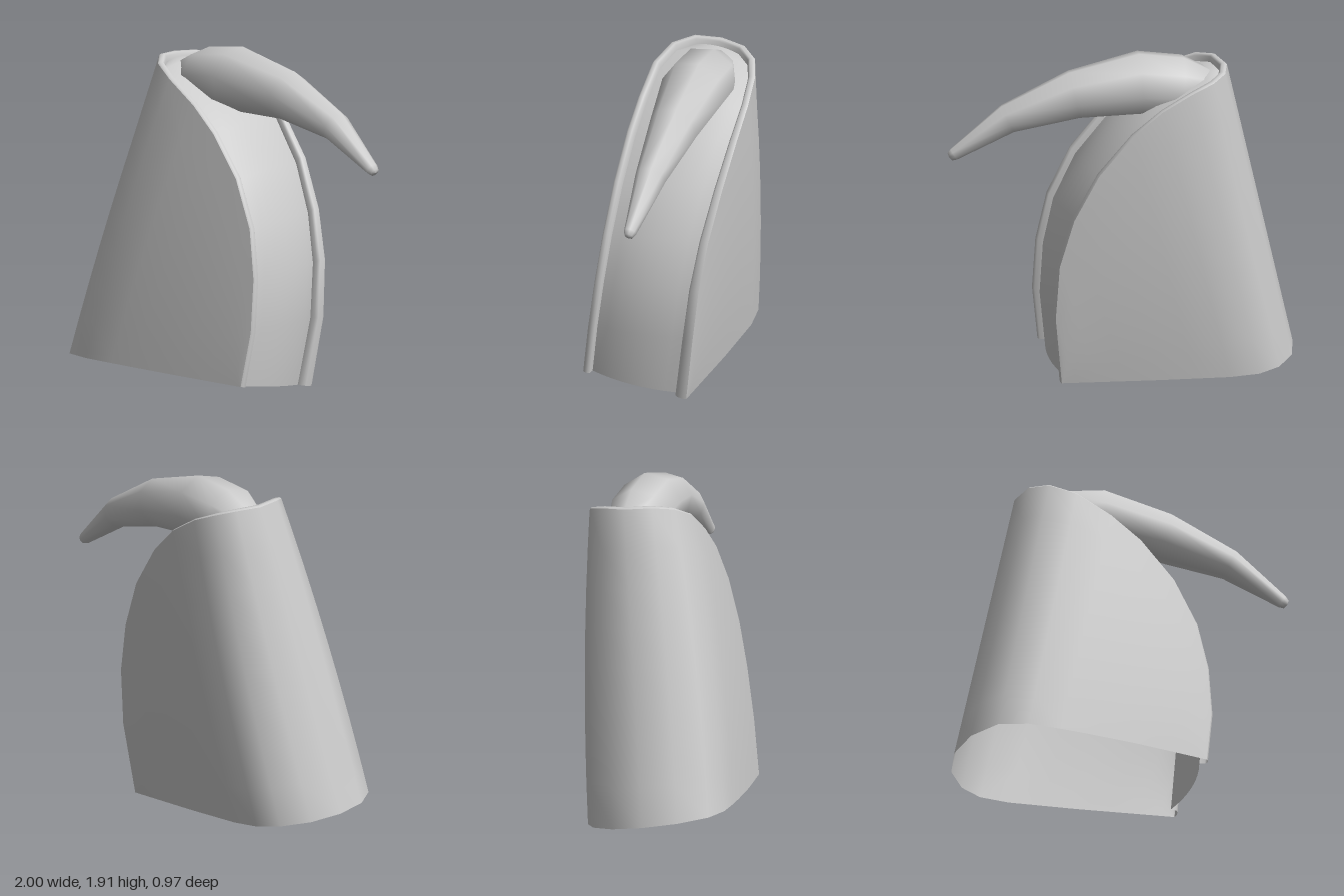
import * as THREE from 'three';

const V = (x, y, z) => new THREE.Vector3(x, y, z);
const material = new THREE.MeshStandardMaterial({ color: 0xcccccc, side: THREE.DoubleSide });

// Height of the tilted ground cut under the hood
const baseY = z => Math.max(0, 0.05 + 0.146 * z);

// Skin a grid of points; wrap closes each row into a ring
function skin(name, rows, wrap = false) {
  const n = rows[0].length, index = [];
  for (let i = 0; i < rows.length - 1; i++) {
    for (let j = 0; j < (wrap ? n : n - 1); j++) {
      const k = (j + 1) % n;
      const a = i * n + j, b = a + n, d = i * n + k, c = d + n;
      index.push(a, d, c, a, c, b);
    }
  }
  const geometry = new THREE.BufferGeometry().setFromPoints(rows.flat());
  geometry.setIndex(index);
  geometry.computeVertexNormals();
  const mesh = new THREE.Mesh(geometry, material);
  mesh.name = name;
  return mesh;
}

// Edge of the opening, from the front foot over the peak to the back foot
const rim = [
  [0.43, 0.085, 0.265], [0.465, 0.4, 0.22], [0.45, 0.7, 0.185], [0.39, 0.98, 0.16],
  [0.26, 1.25, 0.148], [0.07, 1.48, 0.148], [-0.1, 1.62, 0.148], [-0.3, 1.74, 0.148],
  [-0.45, 1.8, 0.1], [-0.55, 1.82, 0], [-0.6, 1.81, -0.15], [-0.575, 1.8, -0.3],
  [-0.5, 1.775, -0.395], [-0.37, 1.73, -0.45], [-0.2, 1.64, -0.48], [-0.03, 1.5, -0.485],
  [0.16, 1.27, -0.475], [0.3, 1.0, -0.45], [0.38, 0.72, -0.425], [0.4, 0.4, -0.395],
  [0.36, 0, -0.34],
].map(p => V(...p));

// Foot outline (x, z) matching the rim point by point
const foot = [
  [0.43, 0.265], [0.36, 0.282], [0.2, 0.322], [0, 0.37], [-0.15, 0.4], [-0.3, 0.43],
  [-0.45, 0.455], [-0.64, 0.48], [-0.81, 0.45], [-0.94, 0.31], [-1, 0.12], [-0.98, -0.07],
  [-0.89, -0.22], [-0.77, -0.3], [-0.6, -0.33], [-0.4, -0.335], [-0.2, -0.34], [0, -0.34],
  [0.15, -0.34], [0.27, -0.34], [0.36, -0.34],
].map(([x, z]) => V(x, baseY(z), z));

// Direction out of the opening at a rim point
const outward = p => V(p.x + 0.5, Math.max(0, p.y - 0.35), 0).normalize();
// Horizontal direction from the rim toward the middle of the opening
const inward = p => V(Math.max(p.x, -0.35) - p.x, 0, -0.16 - p.z).normalize();

// Tapered wall whose broad sides swell slightly between foot and rim
function createHood() {
  const rows = foot.map((f, i) => {
    const swell = 0.015 * f.distanceTo(rim[i]) * (f.z - 0.07) / 0.41;
    return Array.from({ length: 9 }, (_, j) => {
      const t = j / 8;
      const q = f.clone().lerp(rim[i], t);
      q.z += swell * 4 * t * (1 - t);
      return q;
    });
  });
  return skin('hoodWall', rows);
}

// Rounded lip: [inward, outward] offsets across its thickness, wider toward the back foot
const lip = [[0, 0], [0.01, 0.008], [0.03, 0.008], [0.04, -0.004], [0.043, -0.035]];
const lipRows = rim.map((p, i) => lip.map(([a, b]) => {
  const width = 1 + 0.7 * Math.max(0, (i - 14) / 6);
  const q = p.clone().addScaledVector(inward(p), a * width).addScaledVector(outward(p), b);
  if (i === 0 || i === rim.length - 1) q.y = baseY(q.z);
  return q;
}));

// Slightly bulging panel that fills the opening
function createPanel() {
  const last = rim.length - 1, cols = 8, rows = [];
  for (let i = 0; i <= last / 2; i++) {
    const a = lipRows[i].at(-1), b = lipRows[last - i].at(-1);
    const out = outward(a.clone().lerp(b, 0.5));
    const bulge = 0.08 * a.distanceTo(b);
    rows.push(Array.from({ length: cols + 1 }, (_, j) => {
      const t = j / cols;
      const q = a.clone().lerp(b, t).addScaledVector(out, bulge * 4 * t * (1 - t));
      if (i === 0) q.y = baseY(q.z);
      return q;
    }));
  }
  return skin('facePanel', rows);
}

// Curved horn: x, y, z, radius in the bend plane, radius across it
function createHorn() {
  const sections = [
    [-0.54, 1.68, -0.16, 0, 0], [-0.51, 1.7, -0.16, 0.08, 0.11], [-0.34, 1.705, -0.165, 0.17, 0.187],
    [-0.1, 1.73, -0.185, 0.184, 0.192], [0.28, 1.685, -0.228, 0.143, 0.143],
    [0.66, 1.56, -0.25, 0.087, 0.09], [0.965, 1.36, -0.255, 0.037, 0.037],
    [0.988, 1.345, -0.255, 0.026, 0.026], [0.994, 1.342, -0.255, 0, 0],
  ];
  const sides = 8, twist = -0.2;
  const rows = sections.map(([x, y, z, ry, rz], i) => {
    const p = sections[Math.max(0, i - 1)], q = sections[Math.min(sections.length - 1, i + 1)];
    const across = V(p[1] - q[1], q[0] - p[0], 0).normalize();
    return Array.from({ length: sides }, (_, j) => {
      const t = twist + j / sides * Math.PI * 2;
      return V(x, y, z + Math.sin(t) * rz).addScaledVector(across, Math.cos(t) * ry);
    });
  });
  return skin('horn', rows, true);
}

export function createModel() {
  const model = new THREE.Group();
  model.name = 'hornedHood';
  model.add(createHood(), skin('hoodRim', lipRows), createPanel(), createHorn());
  return model;
}
